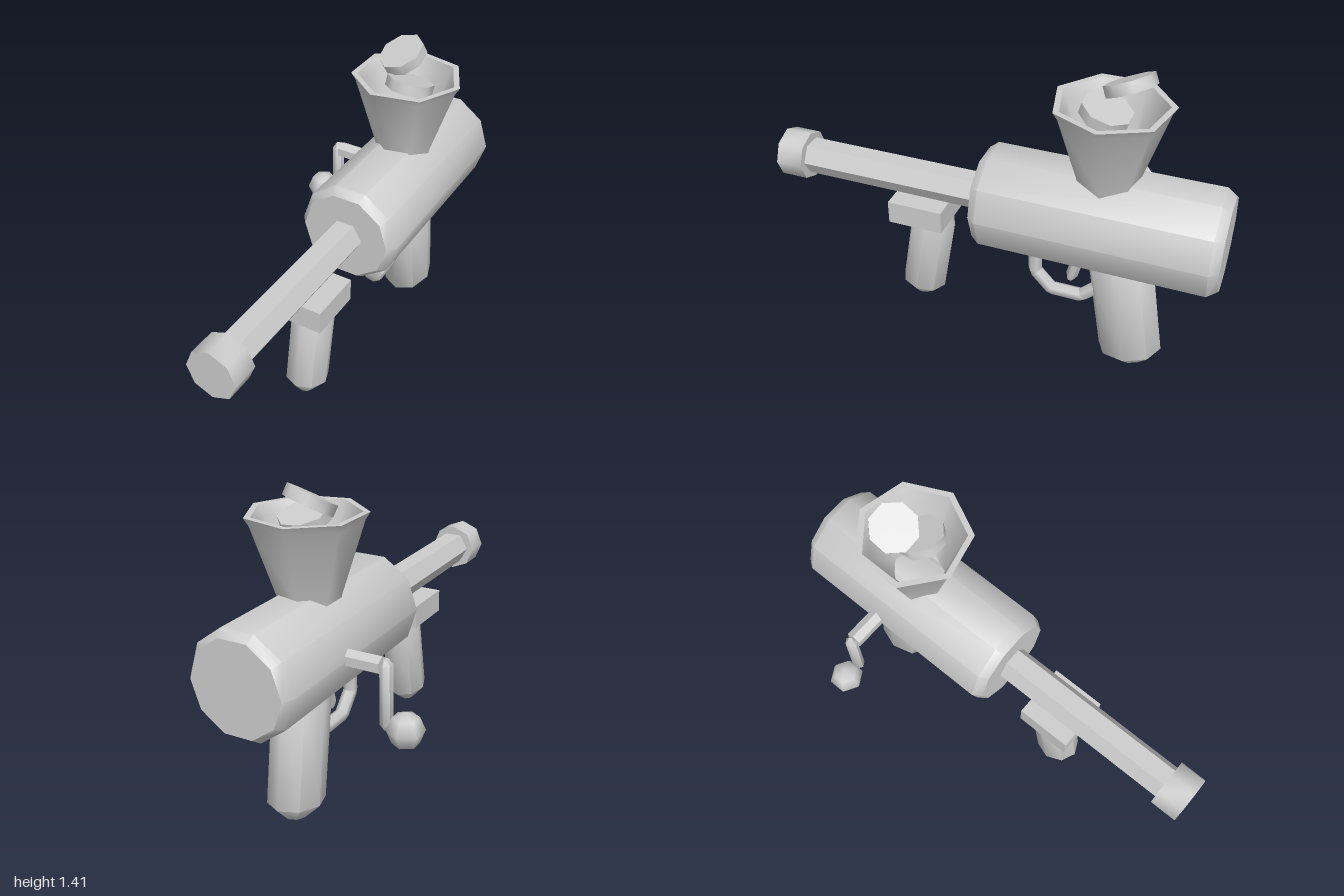
import * as THREE from 'three';
import { toCreasedNormals } from 'three/addons/utils/BufferGeometryUtils.js';

const HALF = Math.PI / 2;
const AXIS_X = 0.143; // the body, barrel and grips share this centre plane

export function createModel() {
  const model = new THREE.Group();
  const grey = new THREE.MeshStandardMaterial({ color: 0xcccccc });
  grey.name = 'plain grey';

  const add = (name, geometry, x, y, z) => {
    const mesh = new THREE.Mesh(geometry, grey);
    mesh.name = name;
    mesh.position.set(x, y, z);
    model.add(mesh);
    return mesh;
  };

  // Turned part along y: profile of [radius, height] from bottom to top
  const turned = (profile, sides, turn = 0, crease = 0.85) => {
    const points = profile.map(([r, h]) => new THREE.Vector2(r, h));
    const geometry = new THREE.LatheGeometry(points, sides).rotateY(turn);
    return toCreasedNormals(geometry, crease);
  };
  const along = (z0, z1, r, bevel, sides, turn) => turned([
    [0, z0], [r - bevel * 0.75, z0], [r, z0 + bevel],
    [r, z1 - bevel], [r - bevel * 0.75, z1], [0, z1],
  ], sides, turn).rotateX(HALF);

  // Ten-sided body, six-sided barrel and eight-sided muzzle
  add('body', along(-1, 0.035, 0.23, 0.038, 10, Math.PI / 10), AXIS_X, 0.745, 0);
  add('barrel', along(0, 0.9, 0.08, 0, 6, HALF), AXIS_X, 0.745, 0);
  add('muzzle', along(0.878, 1, 0.111, 0, 8, 0), AXIS_X, 0.745, 0);

  // Slanted grips with bevelled ends, placed by the centre of the lower end
  const grip = (name, r, tip, top, length, flatten, tilt, y, z) => {
    const mesh = add(name, turned([
      [0, 0], [tip, 0], [r, 0.07], [r, length - 0.05], [top, length], [0, length],
    ], 8, 0, 1), AXIS_X, y, z);
    mesh.scale.x = flatten;
    mesh.rotation.x = tilt;
  };
  add('foregripBlock', new THREE.BoxGeometry(0.25, 0.105, 0.25), AXIS_X - 0.002, 0.617, 0.32);
  grip('foregrip', 0.103, 0.034, 0.08, 0.49, 0.89, -0.17, 0.112, 0.36);
  grip('rearGrip', 0.142, 0.057, 0.11, 0.56, 0.79, 0.16, 0.014, -0.66);

  // Trigger and its guard: bars swept along straight runs of [z, y]
  const bar = (name, points, radius) => {
    const path = new THREE.CurvePath();
    for (let i = 1; i < points.length; i++) {
      const [a, b] = [points[i - 1], points[i]].map(([z, y]) => new THREE.Vector3(0, y, z));
      path.add(new THREE.LineCurve3(a, b));
    }
    add(name, new THREE.TubeGeometry(path, 32, radius, 6), AXIS_X, 0, 0);
  };
  bar('triggerGuard', [[-0.198, 0.57], [-0.198, 0.388], [-0.276, 0.305], [-0.415, 0.305], [-0.5, 0.385]], 0.031);
  const trigger = add('trigger', turned([
    [0, 0], [0.014, 0], [0.026, 0.03], [0.026, 0.18], [0, 0.18],
  ], 6), AXIS_X, 0.38, -0.36);
  trigger.rotation.x = -0.25;

  // Hollow seven-sided hopper with a flared rim
  add('hopper', turned([
    [0.125, 0.92], [0.132, 0.95], [0.227, 1.25], [0.247, 1.283],
    [0.22, 1.283], [0.2, 1.24], [0.11, 0.95], [0, 0.95],
  ], 7, HALF, 0.92), AXIS_X, 0, -0.495);

  // Two loose discs over the hopper, each facing a given direction
  const disc = (name, x, y, z, normal) => {
    const mesh = add(name, turned([
      [0, -0.024], [0.105, -0.024], [0.105, 0.024], [0, 0.024],
    ], 8, Math.PI / 8), x, y, z);
    mesh.quaternion.setFromUnitVectors(
      new THREE.Vector3(0, 1, 0), new THREE.Vector3(...normal).normalize());
  };
  disc('upperDisc', 0.09, 1.345, -0.545, [-0.3, 1, 0.45]);
  disc('lowerDisc', 0.165, 1.25, -0.475, [0.08, 1, -0.3]);

  // Side crank: shaft, hanging arm and round knob
  const crankZ = -0.572;
  add('crankShaft', new THREE.CylinderGeometry(0.039, 0.039, 0.18, 6), -0.137, 0.745, crankZ)
    .geometry = toCreasedNormals(
      new THREE.CylinderGeometry(0.039, 0.039, 0.18, 6).rotateZ(HALF).rotateX(HALF), 0.85);
  const arm = add('crankArm', turned([
    [0, 0], [0.012, 0], [0.026, 0.022], [0.026, 0.278], [0.012, 0.3], [0, 0.3],
  ], 6, 0, 1), -0.243, 0.474, crankZ);
  arm.scale.z = 1.15;
  add('crankKnob', new THREE.SphereGeometry(0.078, 6, 4).rotateY(HALF), -0.327, 0.492, crankZ);

  return model;
}
